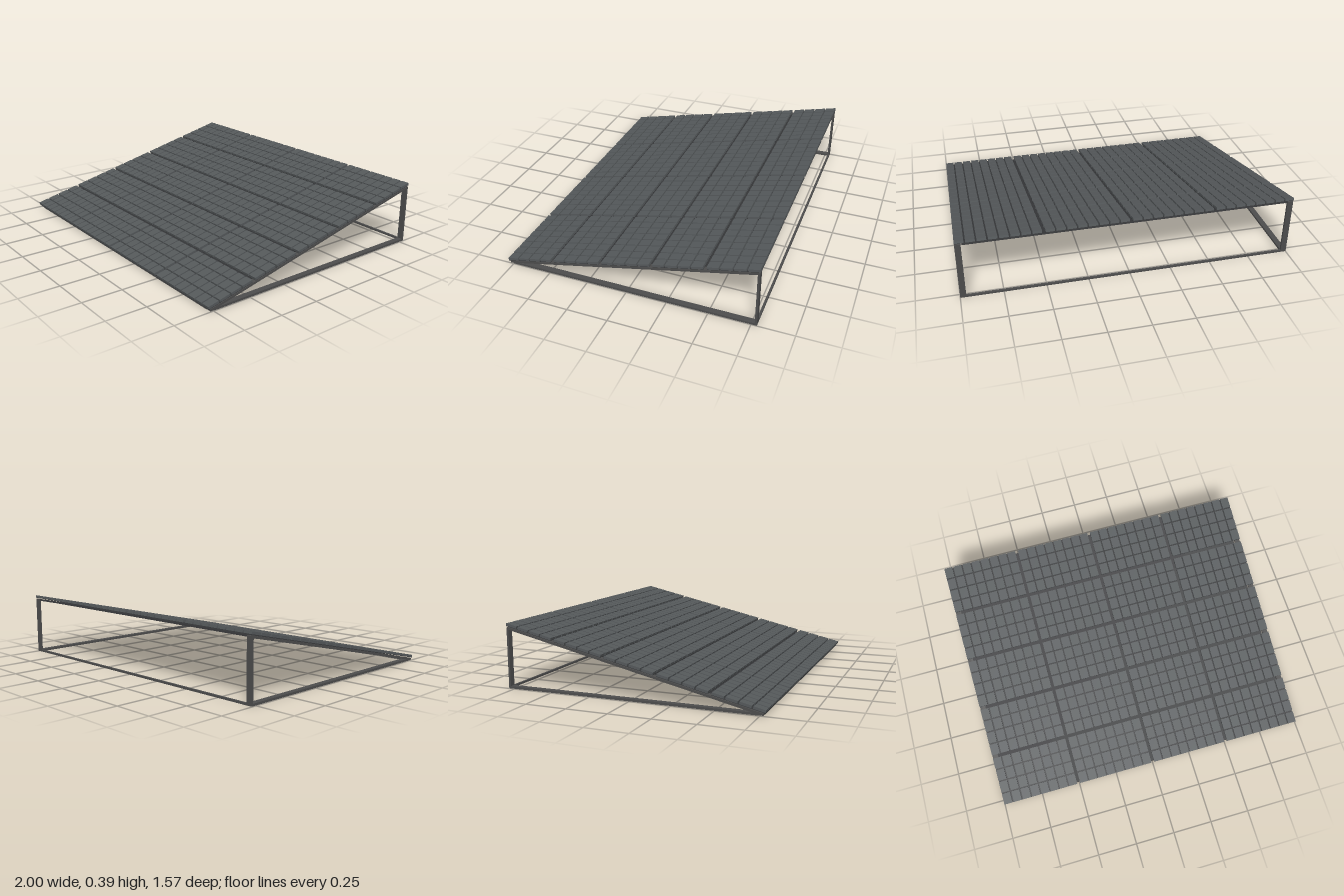
import * as THREE from 'three';
import { mergeGeometries } from 'three/addons/utils/BufferGeometryUtils.js';

const TILT = 0.224;
const COLS = 4, ROWS = 5, CELLS_X = 8, CELLS_Z = 4;
const PANEL_W = 0.485, PANEL_L = 0.304, GAP_X = 0.02, GAP_Z = 0.022;
const CELL_GAP = 0.009;

const cellMat = new THREE.MeshStandardMaterial({ color: 0x54585a });
const frameMat = new THREE.MeshStandardMaterial({ color: 0x4c4c4c });
const sheetMat = new THREE.MeshStandardMaterial({ color: 0x363739 });

// Box given by its minimum and maximum corners
function boxGeo(min, max) {
  const size = max.map((v, i) => v - min[i]);
  const mid = max.map((v, i) => (v + min[i]) / 2);
  return new THREE.BoxGeometry(...size).translate(...mid);
}

function addBox(parent, name, mat, min, max) {
  const mesh = new THREE.Mesh(boxGeo(min, max), mat);
  mesh.name = name;
  parent.add(mesh);
}

// Grid of raised cells for one panel, top face at y = 0
function panelCells() {
  const px = (PANEL_W + CELL_GAP) / CELLS_X;
  const pz = (PANEL_L + CELL_GAP) / CELLS_Z;
  const cells = [];
  for (let i = 0; i < CELLS_X; i++) {
    for (let j = 0; j < CELLS_Z; j++) {
      const x = -PANEL_W / 2 + i * px;
      const z = -PANEL_L / 2 + j * pz;
      cells.push(boxGeo([x, -0.0145, z], [x + px - CELL_GAP, 0, z + pz - CELL_GAP]));
    }
  }
  return mergeGeometries(cells);
}

export function createModel() {
  const model = new THREE.Group();
  model.name = 'solarArray';

  // Tilted deck: panels, backing sheet and sloping rails
  const deck = new THREE.Group();
  deck.name = 'tiltedDeck';
  deck.rotation.x = TILT;
  deck.position.y = 0.212;
  model.add(deck);

  const cellsGeo = panelCells();
  const plateGeo = boxGeo([-PANEL_W / 2, -0.017, -PANEL_L / 2], [PANEL_W / 2, -0.0145, PANEL_L / 2]);
  for (let c = 0; c < COLS; c++) {
    for (let r = 0; r < ROWS; r++) {
      const panel = new THREE.Group();
      panel.name = 'panel';
      panel.position.set(
        (c - (COLS - 1) / 2) * (PANEL_W + GAP_X), 0,
        (r - (ROWS - 1) / 2) * (PANEL_L + GAP_Z));
      const cells = new THREE.Mesh(cellsGeo, cellMat);
      cells.name = 'cells';
      const plate = new THREE.Mesh(plateGeo, sheetMat);
      plate.name = 'backPlate';
      panel.add(cells, plate);
      deck.add(panel);
    }
  }
  addBox(deck, 'backingSheet', sheetMat, [-0.966, -0.031, -0.792], [0.958, -0.022, 0.79]);

  // Side frames: sloping rail, ground rail and rear post
  for (const side of [-1, 1]) {
    const x0 = side < 0 ? -1 : 0.965;
    const x1 = x0 + 0.035;
    addBox(deck, 'slopingRail', frameMat, [x0, -0.034, -0.792], [x1, -0.021, 0.795]);
    addBox(model, 'groundRail', frameMat, [x0, 0.002, -0.78], [x1, 0.015, 0.75]);
    addBox(model, 'rearPost', frameMat, [x0, 0.002, -0.784], [x1, 0.366, -0.771]);
  }

  // Cross bars along the ground, front and back
  addBox(model, 'rearBar', frameMat, [-0.966, 0.002, -0.784], [0.966, 0.014, -0.771]);
  addBox(model, 'frontBar', frameMat, [-0.966, 0, 0.745], [0.966, 0.01, 0.768]);

  return model;
}
